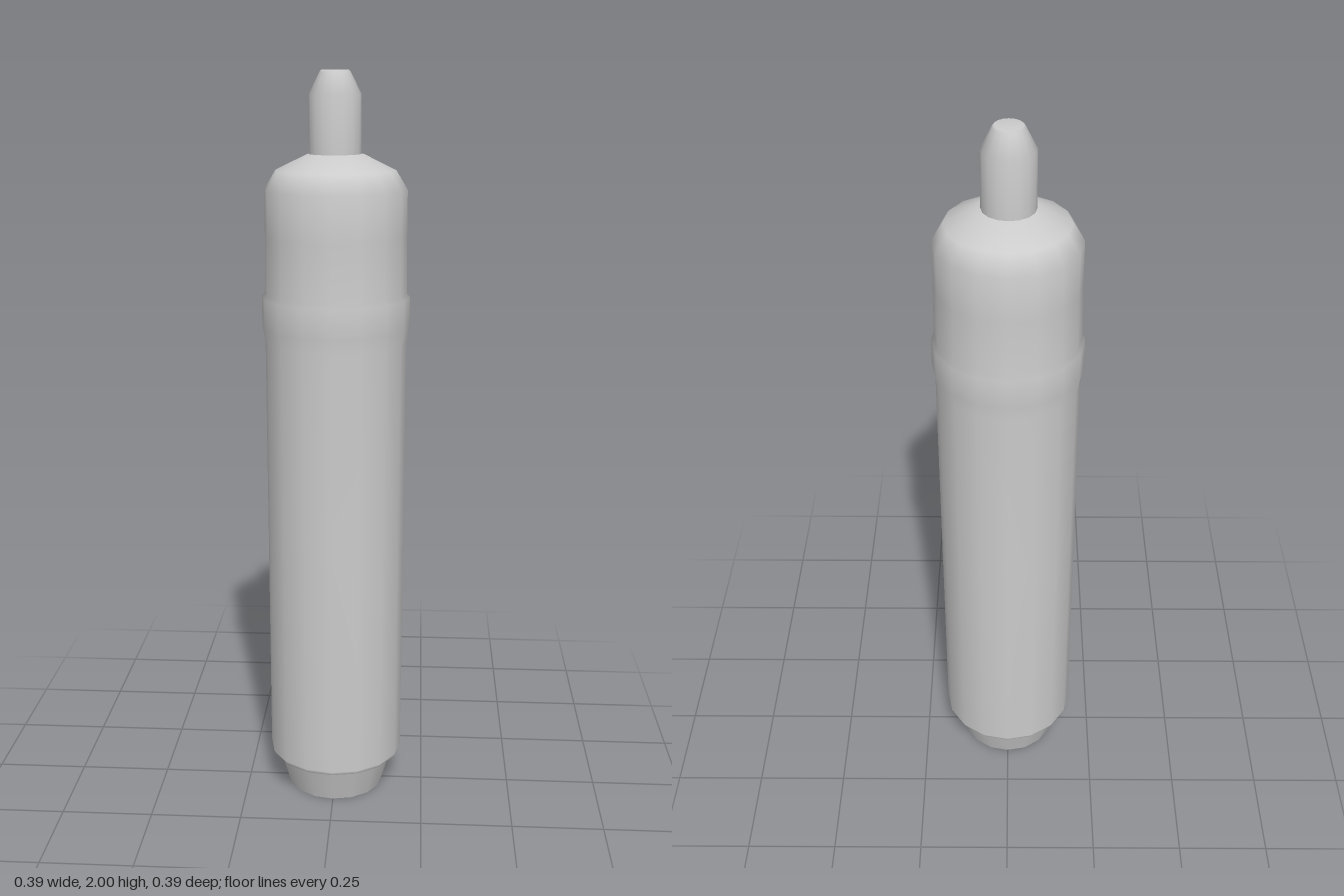
import * as THREE from 'three';

const SIDES = 16;

// Smooth turned part from [radius, height] pairs, listed from bottom to top
function turned(name, profile, material) {
  const points = profile.map(([r, y]) => new THREE.Vector2(r, y));
  const mesh = new THREE.Mesh(new THREE.LatheGeometry(points, SIDES), material);
  mesh.name = name;
  return mesh;
}

export function createModel() {
  const group = new THREE.Group();
  group.name = 'markerPen';
  const grey = new THREE.MeshStandardMaterial({ color: 0xcccccc, side: THREE.DoubleSide });

  // Tapered plug at the foot of the barrel, with its flat end
  const plug = turned('endPlug', [[0.135, 0], [0.165, 0.1]], grey);
  const plugFace = turned('endPlugFace', [[0, 0], [0.135, 0]], grey);

  // Underside step, then the barrel with its raised grip band and rounded shoulder
  const step = turned('barrelUnderside', [[0.16, 0.1], [0.18, 0.1]], grey);
  const barrel = turned('barrel', [
    [0.18, 0.1], [0.187, 0.112], [0.188, 0.8], [0.189, 1.3],
    [0.197, 1.34], [0.197, 1.42], [0.189, 1.43], [0.187, 1.58],
    [0.187, 1.7], [0.157, 1.75], [0.075, 1.79], [0, 1.795],
  ], grey);

  // Slightly off-centre nib: straight stem and blunt cone
  const nib = turned('nib', [
    [0.068, 1.78], [0.068, 1.94], [0.04, 1.995], [0.035, 2], [0, 2],
  ], grey);
  nib.position.set(-0.002, 0, -0.005);

  group.add(plug, plugFace, step, barrel, nib);
  return group;
}
